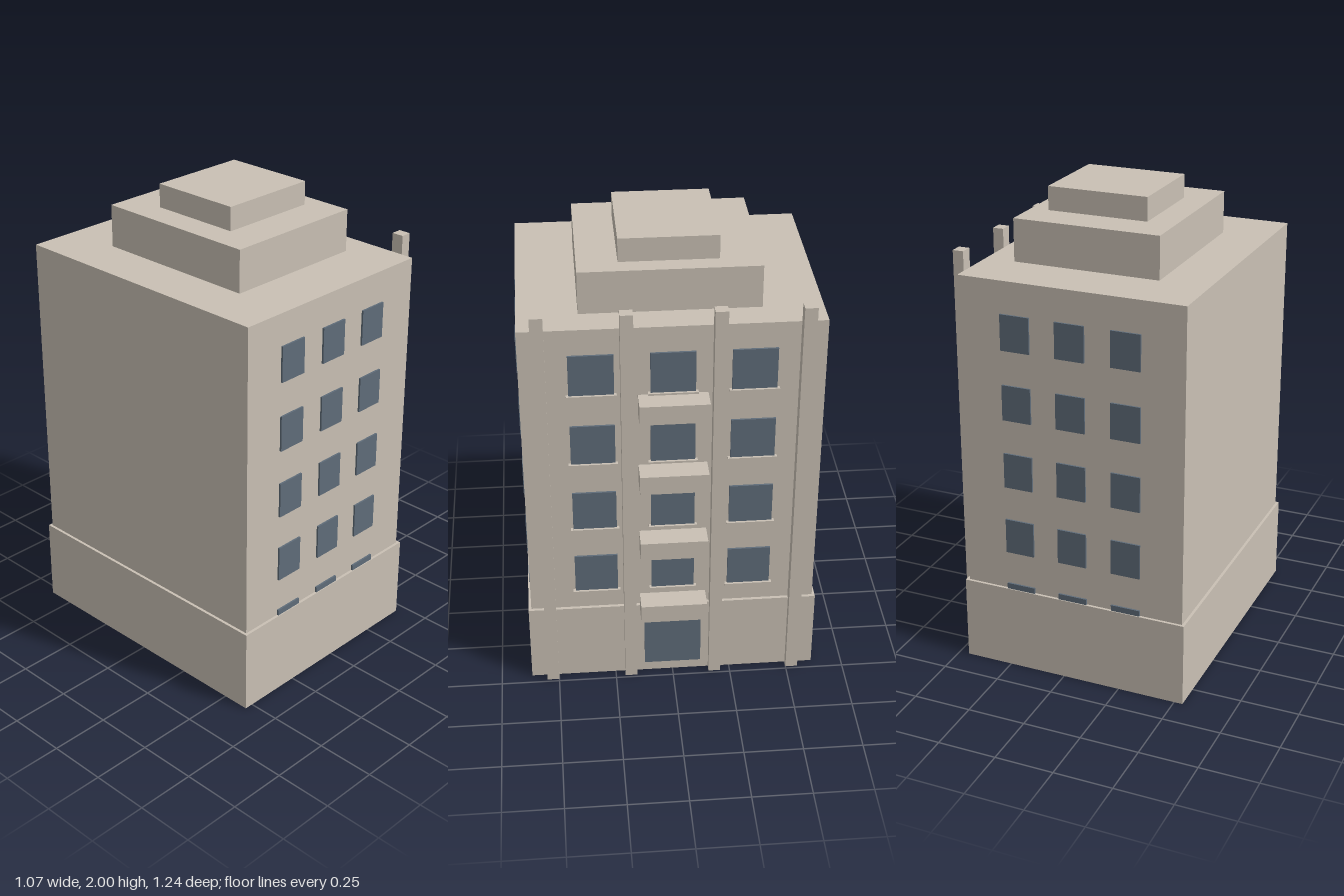
import * as THREE from 'three';

export function createModel() {
  const model = new THREE.Group();
  model.name = 'apartmentBuilding';
  const stone = new THREE.MeshStandardMaterial({ color: 0xc9c0b4 });
  stone.name = 'stone';
  const glass = new THREE.MeshStandardMaterial({ color: 0x5f6c79 });
  glass.name = 'glass';

  // Box given by its minimum and maximum on each axis
  function box(name, material, [x0, x1], [y0, y1], [z0, z1], parent = model) {
    const mesh = new THREE.Mesh(new THREE.BoxGeometry(x1 - x0, y1 - y0, z1 - z0), material);
    mesh.position.set((x0 + x1) / 2, (y0 + y1) / 2, (z0 + z1) / 2);
    mesh.name = name;
    parent.add(mesh);
    return mesh;
  }
  function group(name) {
    const g = new THREE.Group();
    g.name = name;
    model.add(g);
    return g;
  }

  // Main masses and stepped roof
  box('plinth', stone, [-0.537, 0.456], [0, 0.365], [-0.618, 0.618]);
  box('body', stone, [-0.525, 0.442], [0.365, 1.72], [-0.606, 0.606]);
  box('lowerRoofTier', stone, [-0.316, 0.314], [1.72, 1.9], [-0.363, 0.363]);
  box('upperRoofTier', stone, [-0.197, 0.237], [1.9, 2], [-0.2, 0.2]);

  // Pilasters rising above the entrance facade
  const pilasters = group('pilasters');
  for (const z of [-0.526, -0.183, 0.183, 0.526])
    box('pilaster', stone, [0.442, 0.488], [0, 1.8], [z - 0.026, z + 0.026], pilasters);

  // Entrance facade: door, windows with sills, balconies
  box('door', glass, [0.456, 0.461], [0.045, 0.32], [-0.122, 0.122]);
  const facade = group('facadeWindows');
  const balconies = group('balconies');
  for (let floor = 0; floor < 4; floor++) {
    const y = 0.46 + floor * 0.3235;
    for (const z of [-0.323, 0, 0.323]) {
      box('facadeWindow', glass, [0.442, 0.451], [y, y + 0.178], [z - 0.09, z + 0.09], facade);
      box('windowSill', stone, [0.442, 0.461], [y - 0.008, y], [z - 0.1, z + 0.1], facade);
    }
    const b = 0.335 + floor * 0.333;
    box('balcony', stone, [0.442, 0.537], [b, b + 0.084], [-0.14, 0.14], balconies);
  }

  // Windows on both flanks; the lowest row is partly sunk behind the plinth
  const flank = group('flankWindows');
  for (const side of [-1, 1])
    for (let floor = 0; floor < 5; floor++)
      for (const x of [-0.278, -0.041, 0.195]) {
        const y = 0.238 + floor * 0.2985;
        const z = side * 0.61;
        box('flankWindow', glass, [x - 0.063, x + 0.063], [Math.max(y, 0.36), y + 0.152],
          [z - 0.004, z + 0.004], flank);
      }

  return model;
}
